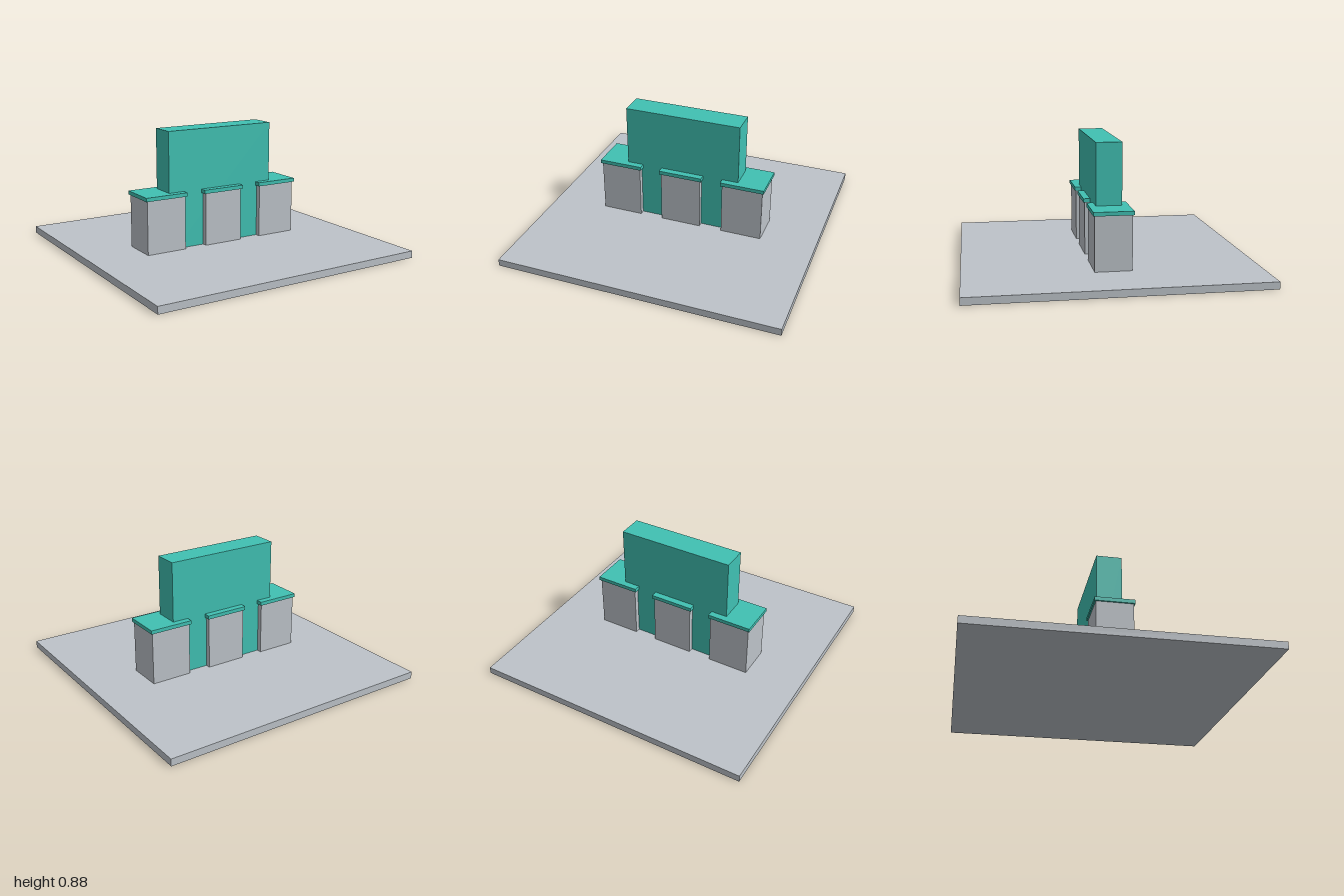
import * as THREE from 'three';

export function createModel() {
  const model = new THREE.Group();
  const stone = new THREE.MeshStandardMaterial({ color: 0xbdc3c9 });
  stone.name = 'grey stone';
  const teal = new THREE.MeshStandardMaterial({ color: 0x40c1b3 });
  teal.name = 'teal';

  // Box centred on z = 0, given by its bottom and top heights
  const addBox = (parent, name, material, width, depth, bottom, top, x = 0) => {
    const mesh = new THREE.Mesh(new THREE.BoxGeometry(width, top - bottom, depth), material);
    mesh.name = name;
    mesh.position.set(x, (bottom + top) / 2, 0);
    parent.add(mesh);
  };

  // Ground slab and the tall wall set into it
  addBox(model, 'baseSlab', stone, 2, 2, 0, 0.05);
  addBox(model, 'wall', teal, 0.838, 0.18, 0.004, 0.885);

  // Row of three capped pillars
  [['right', -0.46], ['middle', 0], ['left', 0.46]].forEach(([side, x]) => {
    const pillar = new THREE.Group();
    pillar.name = `${side}Pillar`;
    addBox(pillar, `${side}PillarBody`, stone, 0.295, 0.254, 0.05, 0.428, x);
    addBox(pillar, `${side}PillarCap`, teal, 0.317, 0.274, 0.428, 0.455, x);
    model.add(pillar);
  });

  return model;
}
